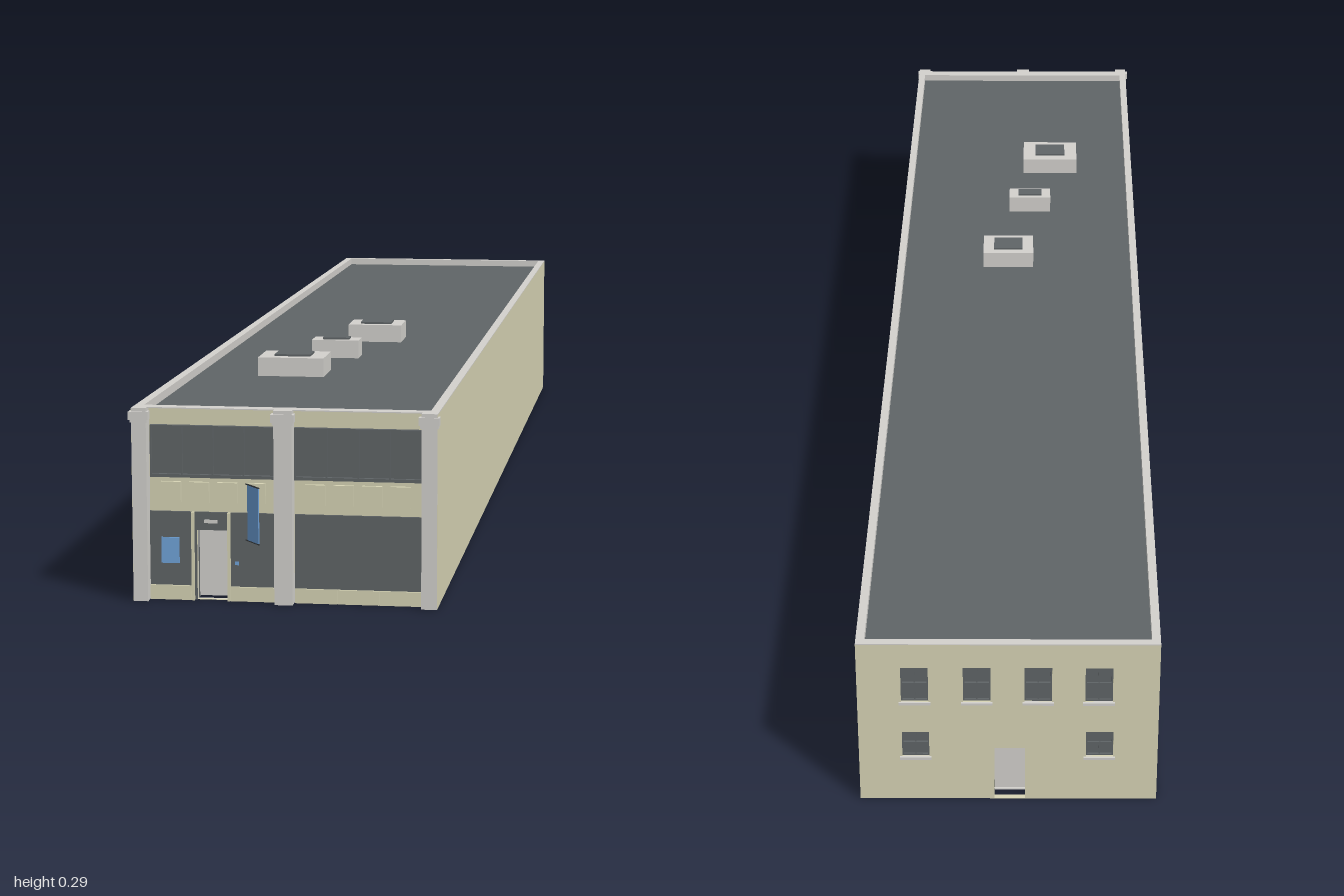
import * as THREE from 'three';

const mat = (name, color) => {
  const m = new THREE.MeshStandardMaterial({ color });
  m.name = name;
  return m;
};

export function createModel() {
  const model = new THREE.Group();
  model.name = 'longBuilding';
  const cream = mat('cream render', 0xd6d3b4);
  const grey = mat('pale grey stone', 0xd2d0cc);
  const slate = mat('dark slate', 0x5f6466);
  const black = mat('dark metal', 0x3a3e40);
  const blue = mat('sign blue', 0x6899cf);
  const lightBlue = mat('light blue', 0x70a3d8);

  const group = (name) => {
    const g = new THREE.Group();
    g.name = name;
    model.add(g);
    return g;
  };
  const add = (parent, name, geo, m) => {
    const mesh = new THREE.Mesh(geo, m);
    mesh.name = name;
    parent.add(mesh);
    return mesh;
  };
  // Box given by its limits on each axis
  const boxGeo = (x0, x1, y0, y1, z0, z1) =>
    new THREE.BoxGeometry(x1 - x0, y1 - y0, z1 - z0)
      .translate((x0 + x1) / 2, (y0 + y1) / 2, (z0 + z1) / 2);
  const box = (parent, name, m, ...lim) => add(parent, name, boxGeo(...lim), m);

  // The plan is a slight parallelogram: slide x along z
  const centre = (z) => 0.002 - 0.0087 * z;
  const skewBox = (parent, name, m, ...lim) => {
    const geo = boxGeo(...lim);
    const p = geo.attributes.position;
    for (let i = 0; i < p.count; i++) p.setX(i, p.getX(i) + centre(p.getZ(i)));
    geo.computeVertexNormals();
    return add(parent, name, geo, m);
  };
  // Upright wall with rectangular openings [x0, x1, y0, y1]
  const wall = (parent, name, m, x0, x1, y0, z0, z1, openings) => {
    const rect = (S, a, b, c, d) => new S([[a, c], [b, c], [b, d], [a, d]]
      .map(([x, y]) => new THREE.Vector2(x, y)));
    const shape = rect(THREE.Shape, x0, x1, y0, 0.2665);
    shape.holes = openings.map((o) => rect(THREE.Path, ...o));
    const geo = new THREE.ExtrudeGeometry(shape, { depth: z1 - z0, bevelEnabled: false });
    return add(parent, name, geo.translate(0, 0, z0), m);
  };

  const H = 0.268, W = 0.209, F = 0.976, B = -0.997;

  // Side walls, their inner lining, the roof, ceiling and coping
  const shell = group('shell');
  for (const s of [-1, 1]) {
    const span = (a, b) => (s < 0 ? [-b, -a] : [a, b]);
    skewBox(shell, 'sideWall', cream, ...span(W - 0.002, W), 0, 0.2665, B, F);
    skewBox(shell, 'sideLining', grey, ...span(W - 0.004, W - 0.002), 0.01, 0.2665, B + 0.006, 0.95);
    skewBox(shell, 'parapet', grey, ...span(W - 0.012, W - 0.004), 0.25, 0.2665, B + 0.006, 0.95);
    skewBox(shell, 'sideCoping', grey, ...span(W - 0.012, W), 0.2665, H, B, F);
  }
  skewBox(shell, 'roof', slate, -W + 0.004, W - 0.004, 0.252, 0.256, B + 0.006, 0.95);
  skewBox(shell, 'ceiling', grey, -W + 0.004, W - 0.004, 0.248, 0.252, B + 0.006, 0.95);
  skewBox(shell, 'backCoping', grey, -W + 0.012, W - 0.012, 0.2665, H, B, B + 0.012);
  skewBox(shell, 'frontCoping', grey, -W + 0.012, W - 0.012, 0.2665, H, 0.947, 0.966);

  // Recessed doorway with dark reveals; dir points into the building
  const doorway = (parent, x0, x1, top, zFace, dir, depth) => {
    const z = (a, b) => [Math.min(zFace + dir * a, zFace + dir * b), Math.max(zFace + dir * a, zFace + dir * b)];
    box(parent, 'doorJamb', slate, x0 - 0.003, x0, 0, top, ...z(0.001, depth));
    box(parent, 'doorJamb', slate, x1, x1 + 0.003, 0, top, ...z(0.001, depth));
    box(parent, 'doorHead', slate, x0 - 0.003, x1 + 0.003, top, top + 0.003, ...z(0.001, depth));
    box(parent, 'door', grey, x0, x1, 0.002, top, ...z(depth - 0.005, depth));
  };

  // Front wall
  const front = group('frontFacade');
  const frontDoor = [-0.13, -0.088, 0.0005, 0.098];
  wall(front, 'frontWall', cream, -0.213, 0.199, 0, 0.95, 0.956, [frontDoor]);
  wall(front, 'frontLining', grey, -0.211, 0.197, 0, 0.947, 0.95, [frontDoor]);
  doorway(front, -0.13, -0.088, 0.098, 0.956, -1, 0.022);

  // Two bays of upper windows over square panels
  for (const [x0, x1] of [[-0.193, -0.02], [0.006, 0.181]]) {
    box(front, 'upperGlass', slate, x0, x1, 0.175, 0.243, 0.956, 0.958);
    box(front, 'windowSill', slate, x0, x1, 0.171, 0.1755, 0.956, 0.963);
    box(front, 'windowHead', slate, x0, x1, 0.241, 0.243, 0.956, 0.963);
    box(front, 'cornice', cream, x0, x1, 0.2475, 0.2665, 0.956, 0.966);
    for (let i = 0; i <= 4; i++) {
      const x = x0 + 0.001 + (x1 - x0 - 0.002) * i / 4;
      box(front, 'mullion', slate, x - 0.001, x + 0.001, 0.1755, 0.241, 0.956, 0.963);
    }
    for (let i = 0; i < 4; i++) {
      const x = x0 + 0.028 + i * 0.039;
      box(front, 'squarePanel', cream, x - 0.0138, x + 0.0138, 0.136, 0.1645, 0.956, 0.961);
    }
  }

  // Ground floor panels and plinths
  for (const [x0, x1, n] of [[-0.195, -0.137, 1], [-0.083, -0.02, 1], [0.006, 0.181, 3]]) {
    box(front, 'groundPanel', slate, x0, x1, 0.02, 0.123, 0.956, 0.959);
    const w = (x1 - x0) / n;
    for (let i = 0; i < n; i++)
      box(front, 'plinth', cream, x0 + i * w + 0.0003, x0 + (i + 1) * w - 0.0003, 0, 0.02, 0.956, 0.962);
  }
  box(front, 'transom', slate, -0.133, -0.087, 0.098, 0.123, 0.956, 0.959);
  box(front, 'doorFrame', slate, -0.133, -0.13, 0, 0.098, 0.956, 0.959);
  box(front, 'doorPlaque', grey, -0.119, -0.101, 0.108, 0.1125, 0.959, 0.961);
  for (const x of [-0.135, -0.085])
    box(front, 'doorPost', cream, x - 0.002, x + 0.002, 0, 0.123, 0.956, 0.963);
  box(front, 'poster', lightBlue, -0.179, -0.154, 0.051, 0.087, 0.959, 0.961);
  box(front, 'doorbell', lightBlue, -0.0765, -0.0715, 0.0505, 0.0555, 0.959, 0.961);

  // Pillars with stepped capitals
  for (const [x0, x1] of [[-0.2152, -0.195], [-0.02, 0.005], [0.181, 0.2023]]) {
    box(front, 'pillar', grey, x0, x1, 0, H, 0.955, F + 0.0005);
    box(front, 'capital', grey, x0 - 0.004, x1 + 0.003, 0.252, 0.263, 0.965, 0.979);
    box(front, 'capitalNeck', grey, x0 - 0.002, x1 + 0.0015, 0.248, 0.252, 0.965, 0.978);
  }

  // Projecting sign set at an angle, with brackets
  const sign = group('hangingSign');
  sign.position.set(-0.0465, 0, 0.986);
  sign.rotation.y = -0.9;
  box(sign, 'signBoard', blue, -0.0155, 0.0155, 0.089, 0.165, -0.0008, 0.0008);
  for (const y of [0.0875, 0.165])
    box(sign, 'signBracket', black, -0.021, 0.017, y, y + 0.0015, -0.0008, 0.0008);

  // Back wall with four tall and two small windows and a door
  const back = group('backFacade');
  const windows = [
    ...[0.14, 0.054, -0.031, -0.115].map((x) => [x - 0.019, x + 0.019, 0.17, 0.228]),
    ...[0.14, -0.117].map((x) => [x - 0.019, x + 0.019, 0.075, 0.118]),
  ];
  const backDoor = [-0.013, 0.03, 0.0005, 0.09];
  wall(back, 'backWall', cream, -0.197, 0.2185, 0, B, B + 0.008, [...windows, backDoor]);
  wall(back, 'backLining', grey, -0.195, 0.216, 0.01, B + 0.009, B + 0.012, [[-0.013, 0.03, 0.0105, 0.09]]);
  doorway(back, -0.013, 0.03, 0.09, B, 1, 0.022);
  for (const [x0, x1, y0, y1] of windows) {
    const ym = (y0 + y1) / 2, xm = (x0 + x1) / 2;
    box(back, 'backGlass', slate, x0, x1, y0, y1, B + 0.006, B + 0.009);
    box(back, 'backSill', grey, x0 - 0.003, x1 + 0.003, y0 - 0.004, y0, -1, B + 0.006);
    box(back, 'sashRail', slate, x0, x1, ym - 0.0015, ym + 0.0015, B + 0.003, B + 0.006);
    box(back, 'sashBar', slate, xm - 0.001, xm + 0.001, y0, y1, B + 0.004, B + 0.006);
    for (const x of [x0, x1 - 0.002])
      box(back, 'sashSide', slate, x, x + 0.002, y0, y1, B + 0.003, B + 0.006);
    for (const y of [y0, y1 - 0.002])
      box(back, 'sashEdge', slate, x0, x1, y, y + 0.002, B + 0.003, B + 0.006);
  }

  // Rooflights: stone kerb with a dark lid
  for (const [x, z, w, d, lw, ld] of [
    [0.017, 0.166, 0.087, 0.066, 0.05, 0.04],
    [-0.021, 0.371, 0.074, 0.038, 0.042, 0.02],
    [-0.059, 0.553, 0.099, 0.076, 0.054, 0.042],
  ]) {
    const light = group('rooflight');
    light.position.set(x, 0, z);
    box(light, 'kerb', grey, -w / 2, w / 2, 0.254, 0.284, -d / 2, d / 2);
    box(light, 'lid', slate, -lw / 2, lw / 2, 0.284, 0.287, -ld / 2, ld / 2);
  }
  return model;
}
